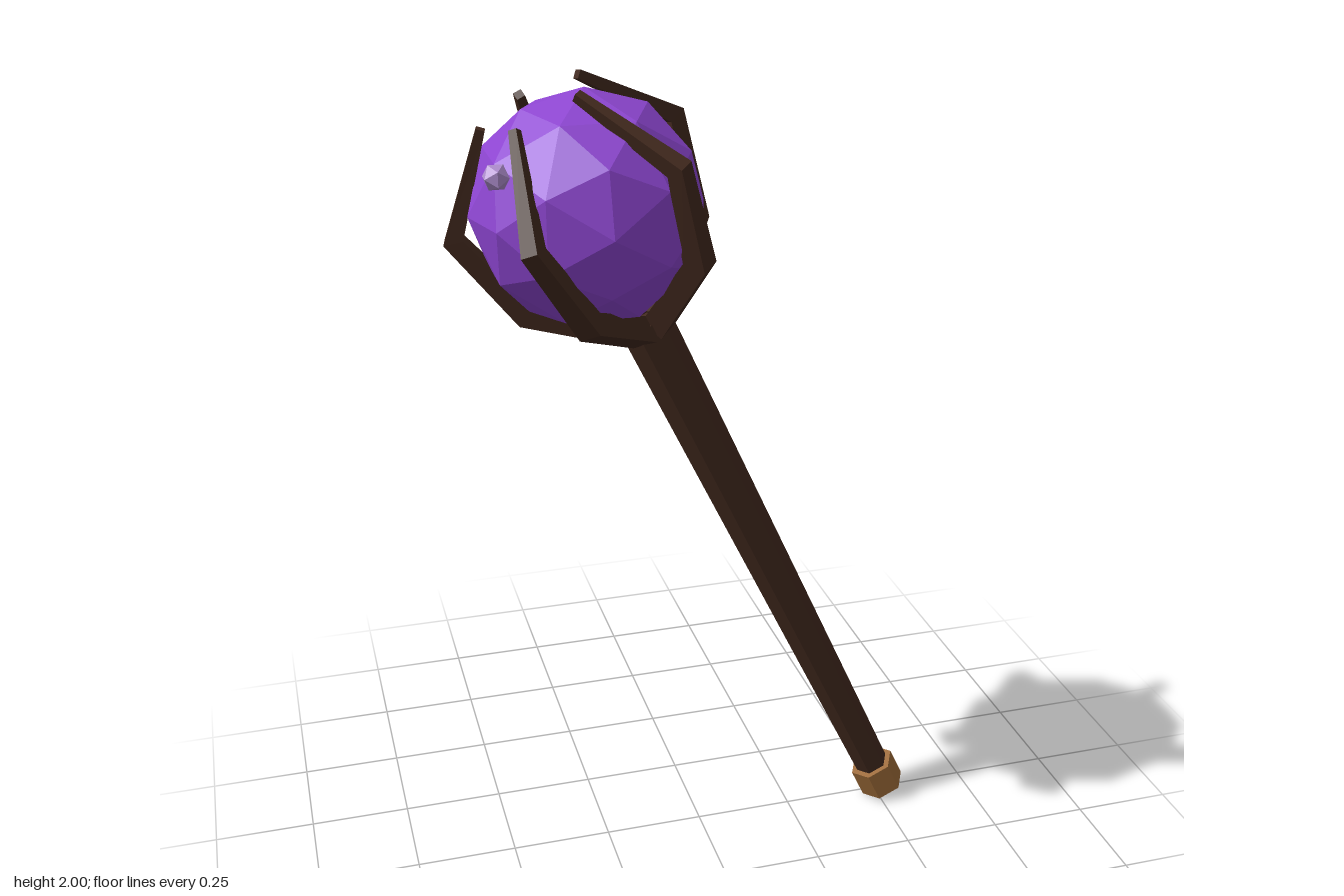
import * as THREE from 'three';

const flat = (name, color) => {
  const m = new THREE.MeshStandardMaterial({ color });
  m.name = name;
  m.flatShading = true;
  return m;
};

// Tapered square bar swept along points [x, y, halfWidth] in the xy plane, mitred at the bends
function taperedBar(points) {
  const dirs = points.slice(1).map((p, i) =>
    new THREE.Vector2(p[0] - points[i][0], p[1] - points[i][1]).normalize());
  const pos = [], index = [];
  points.forEach(([x, y, h], i) => {
    const before = dirs[Math.max(i - 1, 0)], after = dirs[Math.min(i, dirs.length - 1)];
    const d = before.clone().add(after).normalize();
    const m = h / d.dot(after);
    for (const [a, b] of [[1, 1], [-1, 1], [-1, -1], [1, -1]]) {
      pos.push(x - d.y * m * a, y + d.x * m * a, h * b);
    }
  });
  for (let i = 0; i < points.length - 1; i++) {
    for (let k = 0; k < 4; k++) {
      const a = i * 4 + k, b = i * 4 + (k + 1) % 4;
      index.push(a, b, b + 4, a, b + 4, a + 4);
    }
  }
  const e = (points.length - 1) * 4;
  index.push(0, 2, 1, 0, 3, 2, e, e + 1, e + 2, e, e + 2, e + 3);
  const g = new THREE.BufferGeometry();
  g.setAttribute('position', new THREE.Float32BufferAttribute(pos, 3));
  g.setIndex(index);
  const out = g.toNonIndexed();
  out.computeVertexNormals();
  return out;
}

export function createModel() {
  const wood = flat('dark wood', 0x42291e);
  const bronze = flat('bronze', 0x9c6a38);
  const purple = flat('purple crystal', 0x8e46d2);
  const lilac = flat('pale lilac', 0xb08fd0);

  const model = new THREE.Group();
  model.name = 'staff';
  const add = (parent, name, geometry, material) => {
    const mesh = new THREE.Mesh(geometry, material);
    mesh.name = name;
    parent.add(mesh);
    return mesh;
  };

  // Leaning staff, built upright from the foot of the pommel
  const leaning = new THREE.Group();
  leaning.name = 'leaningStaff';
  leaning.position.set(0.516, 0.025, 0.02);
  leaning.rotation.z = THREE.MathUtils.degToRad(25);
  model.add(leaning);

  // Six-sided rod with a corner facing +x
  const hexRod = (rTop, rBottom, y0, y1) =>
    new THREE.CylinderGeometry(rTop, rBottom, y1 - y0, 6)
      .rotateY(Math.PI / 2).translate(0, (y0 + y1) / 2, 0);
  add(leaning, 'shaft', hexRod(0.063, 0.043, -0.005, 1.55), wood);
  add(leaning, 'pommel', hexRod(0.06, 0.06, 0, 0.082), bronze);

  // Five claws gripping the orb
  const orbHeight = 1.85;
  const clawGeometry = taperedBar([
    [0.035, -0.315, 0.03], [0.236, -0.17, 0.026], [0.3, 0.055, 0.02], [0.127, 0.258, 0.01],
  ]);
  for (let i = 0; i < 5; i++) {
    const claw = add(leaning, 'claw' + (i + 1), clawGeometry, wood);
    claw.position.y = orbHeight;
    claw.rotation.y = -THREE.MathUtils.degToRad(-22 + 72 * i);
  }

  // Faceted orb and the small floating shard
  add(model, 'orb', new THREE.IcosahedronGeometry(0.267, 1), purple).position.set(-0.263, 1.7, 0.02);
  add(model, 'floatingShard', new THREE.IcosahedronGeometry(0.031, 0), lilac).position.set(-0.488, 1.825, 0.18);

  return model;
}
